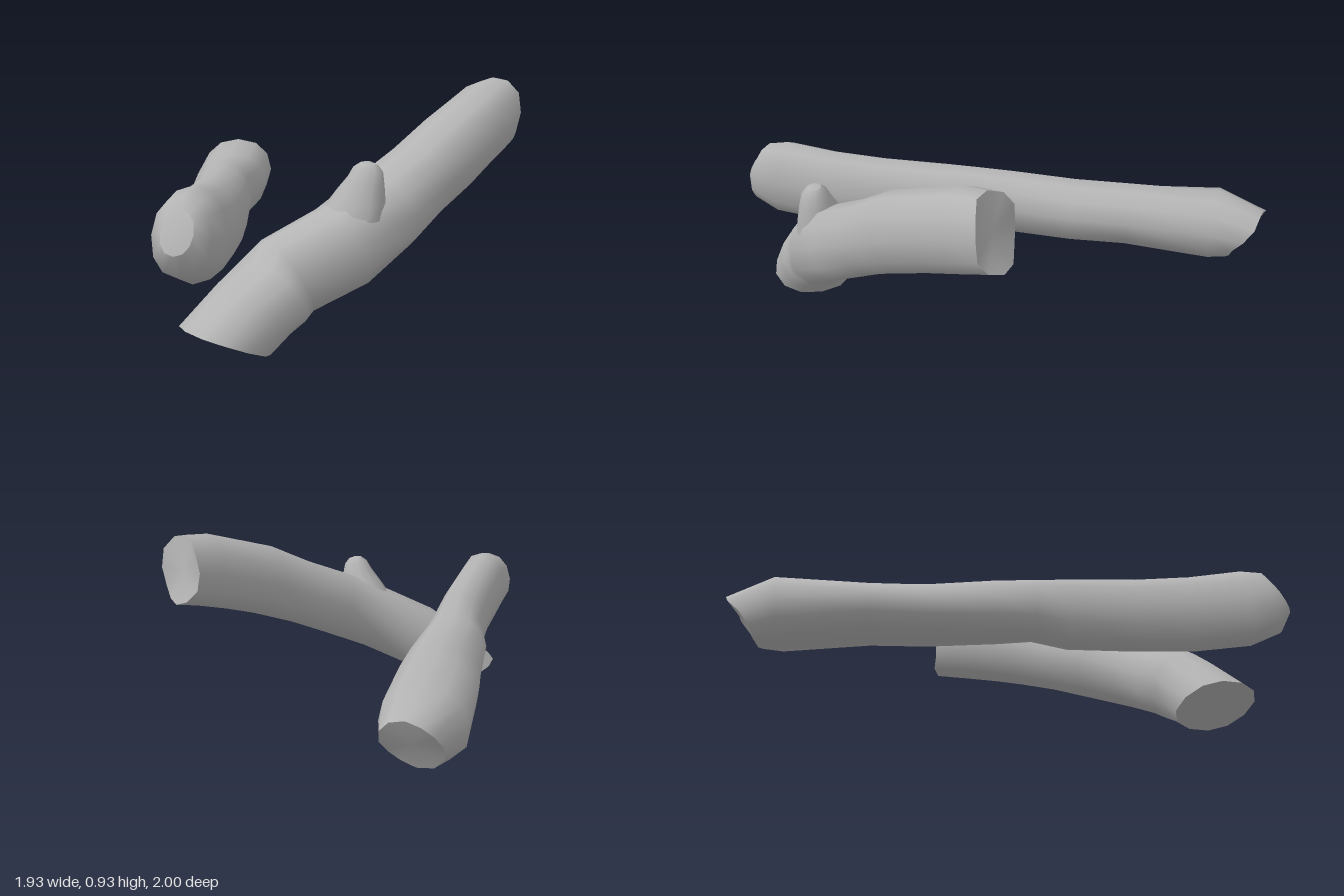
import * as THREE from 'three';

const SIDES = 12;
const squarish = v => Math.sign(v) * Math.pow(Math.abs(v), 0.92);

// Lofted branch. Each station: [x, y, z, half width, half height, lean, swell, swell angle]
// lean tilts the ring along the axis; swell pushes one corner of the ring out (or in, if negative).
// dents: how far the centre of the start and end cap sinks into the wood.
function branchGeometry(stations, dents, ragged = 0) {
  const centres = stations.map(s => new THREE.Vector3(s[0], s[1], s[2]));
  const last = centres.length - 1;
  const positions = [], index = [];
  const rings = [], tangents = [];
  stations.forEach(([, , , hw, hv, lean = 0, swell = 0, angle = 0], i) => {
    const t = centres[Math.min(i + 1, last)].clone().sub(centres[Math.max(i - 1, 0)]).normalize();
    const side = t.clone().cross(new THREE.Vector3(0, 1, 0)).normalize();
    const up = side.clone().cross(t);
    tangents.push(t);
    rings.push(Array.from({ length: SIDES }, (_, j) => {
      const a = (j / SIDES) * Math.PI * 2;
      const r = 1 + swell * Math.max(0, Math.cos(a - angle)) ** 4;
      const notch = i === last ? ragged * Math.sin(a * 3 + 0.5) : 0;
      return centres[i].clone()
        .addScaledVector(side, squarish(Math.cos(a)) * hw * r)
        .addScaledVector(up, squarish(Math.sin(a)) * hv * r)
        .addScaledVector(t, Math.sin(a) * lean + notch);
    }));
  });

  // Bark
  rings.forEach(ring => ring.forEach(p => positions.push(p.x, p.y, p.z)));
  for (let i = 0; i < last; i++) {
    for (let j = 0; j < SIDES; j++) {
      const a = i * SIDES + j, b = i * SIDES + (j + 1) % SIDES;
      index.push(a, a + SIDES, b, b, a + SIDES, b + SIDES);
    }
  }

  // Cut ends, with their own vertices so the rim stays sharp
  [[0, 1], [last, -1]].forEach(([i, inward], k) => {
    const base = positions.length / 3;
    const c = centres[i].clone().addScaledVector(tangents[i], inward * dents[k]);
    [c, ...rings[i]].forEach(p => positions.push(p.x, p.y, p.z));
    for (let j = 0; j < SIDES; j++) {
      const a = base + 1 + j, b = base + 1 + (j + 1) % SIDES;
      if (k === 0) index.push(base, a, b); else index.push(base, b, a);
    }
  });

  const geometry = new THREE.BufferGeometry();
  geometry.setAttribute('position', new THREE.Float32BufferAttribute(positions, 3));
  geometry.setIndex(index);
  geometry.computeVertexNormals();
  return geometry;
}

export function createModel() {
  const group = new THREE.Group();
  const wood = new THREE.MeshStandardMaterial({ color: 0xb4b4b4 });
  wood.name = 'grey wood';
  const add = (name, geometry) => {
    const mesh = new THREE.Mesh(geometry, wood);
    mesh.name = name;
    group.add(mesh);
  };

  // Long level log running from the front right to the back left
  add('longLog', branchGeometry([
    [-0.915, 0.535, 0.94, 0.06, 0.08],
    [-0.885, 0.515, 0.915, 0.11, 0.14],
    [-0.80, 0.50, 0.845, 0.118, 0.172],
    [-0.65, 0.475, 0.665, 0.118, 0.17],
    [-0.50, 0.467, 0.47, 0.118, 0.163],
    [-0.335, 0.463, 0.23, 0.12, 0.157],
    [-0.255, 0.477, 0.10, 0.122, 0.14, 0, -0.08, 2.36],
    [-0.17, 0.465, -0.04, 0.145, 0.142, 0, -0.14, 2.36],
    [0.00, 0.452, -0.275, 0.165, 0.141, 0, -0.25, 2.36],
    [0.135, 0.448, -0.48, 0.178, 0.138, 0, -0.25, 2.36],
    [0.355, 0.421, -0.79, 0.17, 0.151, 0, 0.12, 3.93],
    [0.455, 0.387, -0.895, 0.12, 0.124, 0.05, 0.12, 3.93],
  ], [-0.012, 0.0], 0.012));

  // Rising log leaning across the front
  add('risingLog', branchGeometry([
    [-0.64, 0.08, 0.78, 0.178, 0.145, -0.085],
    [-0.52, 0.182, 0.785, 0.172, 0.15, -0.03],
    [-0.44, 0.24, 0.792, 0.17, 0.155],
    [-0.37, 0.29, 0.77, 0.148, 0.155, 0, 0.1, -0.8],
    [-0.17, 0.395, 0.83, 0.152, 0.152, 0, 0.2, -0.8],
    [0.065, 0.50, 0.80, 0.162, 0.154, 0, 0.08, -0.8],
    [0.265, 0.585, 0.75, 0.155, 0.152],
    [0.475, 0.675, 0.69, 0.153, 0.16, 0, 0.08, 0.9],
    [0.64, 0.73, 0.62, 0.148, 0.158, 0, 0.08, 0.9],
    [0.80, 0.78, 0.55, 0.142, 0.16, 0, 0.08, 0.9],
    [0.91, 0.80, 0.495, 0.115, 0.152, 0, 0.08, 0.9],
  ], [0, 0.02], 0.015));

  // Short rounded stub of a broken twig
  add('twigStub', branchGeometry([
    [-0.125, 0.46, 0.84, 0.12, 0.13],
    [-0.10, 0.56, 0.865, 0.09, 0.10],
    [-0.088, 0.63, 0.88, 0.066, 0.072],
    [-0.083, 0.675, 0.885, 0.052, 0.056],
    [-0.08, 0.697, 0.887, 0.03, 0.032],
  ], [0, -0.008]));

  return group;
}
